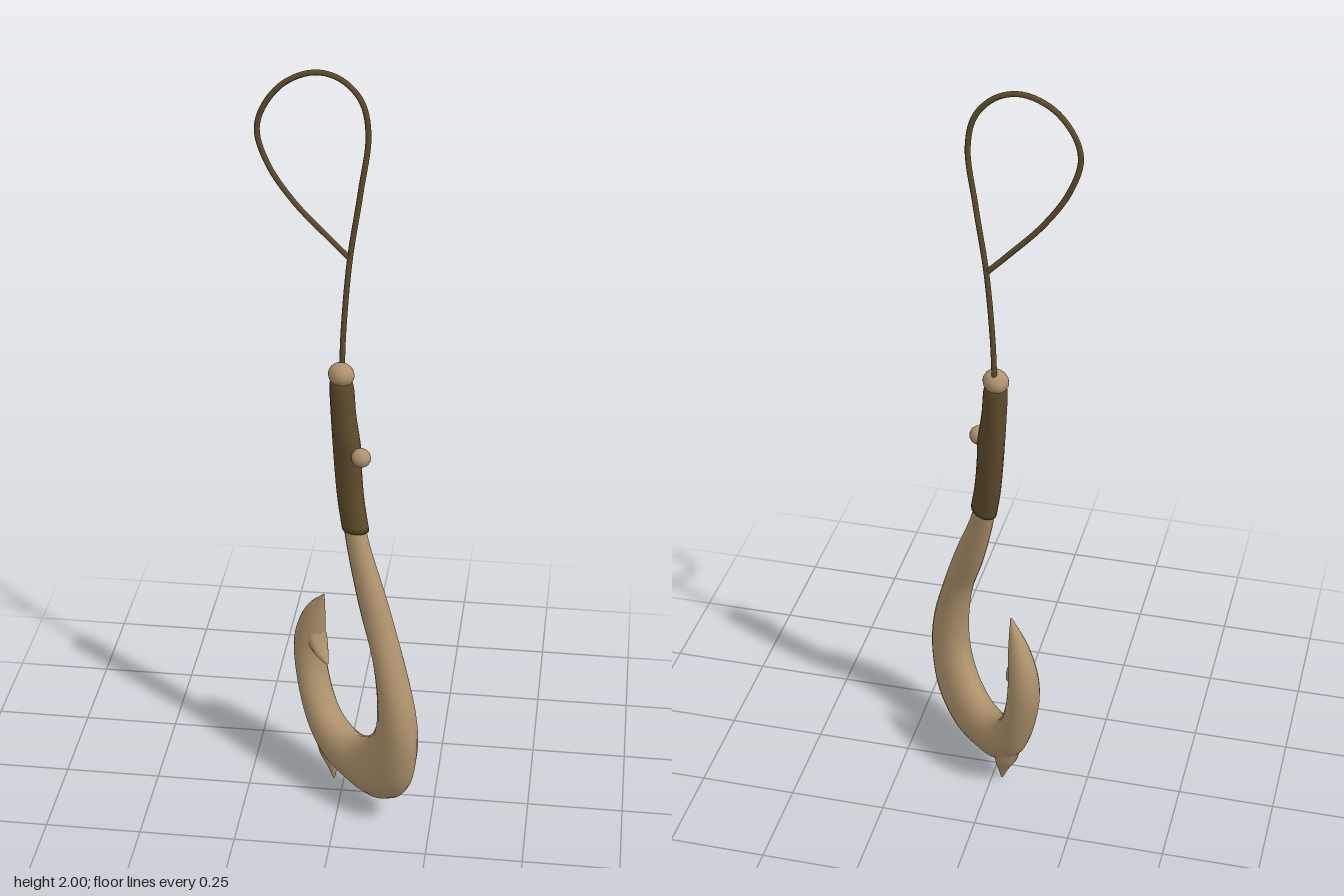
import * as THREE from 'three';

const bone = new THREE.MeshStandardMaterial({ color: 0xae926c });
bone.name = 'bone';
const twine = new THREE.MeshStandardMaterial({ color: 0x5f4b2b });
twine.name = 'twine';

// Smooth sweep through oval sections lying across a flat outline.
// Each row: outer x, outer y, inner x, inner y, half thickness.
function sweep(name, rows, material, steps, sides = 16) {
  const curve = (a, b) => new THREE.CatmullRomCurve3(
    rows.map((r) => new THREE.Vector3(r[a], r[b], r[4])));
  const outer = curve(0, 1), inner = curve(2, 3);
  const pos = [], index = [];
  const ring = (t, size) => {
    const o = outer.getPoint(t), i = inner.getPoint(t);
    for (let j = 0; j < sides; j++) {
      const a = (j / sides) * Math.PI * 2;
      const c = Math.cos(a) * size;
      pos.push(
        (o.x + i.x) / 2 + ((o.x - i.x) / 2) * c,
        (o.y + i.y) / 2 + ((o.y - i.y) / 2) * c,
        o.z * Math.sin(a) * size);
    }
  };
  ring(0, 0.001);
  for (let k = 0; k <= steps; k++) ring(k / steps, 1);
  ring(1, 0.001);
  for (let k = 0; k < steps + 2; k++) {
    for (let j = 0; j < sides; j++) {
      const a = k * sides + j, b = k * sides + ((j + 1) % sides);
      index.push(a, b, a + sides, b, b + sides, a + sides);
    }
  }
  const g = new THREE.BufferGeometry();
  g.setAttribute('position', new THREE.Float32BufferAttribute(pos, 3));
  g.setIndex(index);
  g.computeVertexNormals();
  const mesh = new THREE.Mesh(g, material);
  mesh.name = name;
  return mesh;
}

function knob(name, x, y, rx, ry, rz) {
  const mesh = new THREE.Mesh(new THREE.SphereGeometry(1, 16, 10), bone);
  mesh.name = name;
  mesh.scale.set(rx, ry, rz);
  mesh.position.set(x, y, 0);
  return mesh;
}

export function createModel() {
  const model = new THREE.Group();
  model.name = 'fishHook';

  // Carved hook, standing in a plane turned 45 degrees
  const hook = new THREE.Group();
  hook.name = 'hook';
  hook.rotation.y = -Math.PI / 4;
  hook.position.x = 0.0275;
  model.add(hook);

  hook.add(sweep('shankAndBend', [
    [0.025, 0.90, -0.03, 0.88, 0.024],
    [0.05, 0.80, -0.015, 0.79, 0.026],
    [0.13, 0.64, 0.045, 0.62, 0.034],
    [0.197, 0.48, 0.108, 0.49, 0.04],
    [0.24, 0.36, 0.13, 0.37, 0.045],
    [0.252, 0.25, 0.122, 0.29, 0.048],
    [0.215, 0.115, 0.085, 0.23, 0.05],
    [0.12, 0.05, 0.03, 0.195, 0.05],
    [0.01, 0.05, -0.02, 0.187, 0.05],
    [-0.085, 0.07, -0.075, 0.207, 0.048],
    [-0.15, 0.13, -0.11, 0.25, 0.046],
    [-0.195, 0.23, -0.135, 0.31, 0.045],
    [-0.226, 0.36, -0.14, 0.37, 0.042],
    [-0.215, 0.44, -0.135, 0.42, 0.036],
    [-0.175, 0.51, -0.128, 0.475, 0.024],
    [-0.12, 0.56, -0.12, 0.555, 0.003],
  ], bone, 75));

  // Inner barb below the tip
  hook.add(sweep('barb', [
    [-0.19, 0.46, -0.19, 0.36, 0.03],
    [-0.145, 0.45, -0.15, 0.37, 0.028],
    [-0.125, 0.40, -0.13, 0.36, 0.02],
    [-0.103, 0.352, -0.106, 0.348, 0.003],
  ], bone, 16));

  // Spur under the bend
  hook.add(sweep('spur', [
    [-0.05, 0.12, -0.15, 0.14, 0.035],
    [-0.066, 0.06, -0.125, 0.08, 0.026],
    [-0.07, 0.03, -0.102, 0.045, 0.014],
    [-0.075, 0.0, -0.08, 0.003, 0.003],
  ], bone, 16));

  // Twine binding, swelling over the side peg
  hook.add(sweep('binding', [
    [-0.02, 1.215, -0.073, 1.215, 0.024],
    [-0.012, 1.20, -0.076, 1.20, 0.028],
    [0.0, 1.12, -0.072, 1.12, 0.029],
    [0.022, 1.04, -0.066, 1.03, 0.029],
    [0.024, 0.99, -0.06, 0.98, 0.029],
    [0.035, 0.90, -0.047, 0.89, 0.029],
    [0.055, 0.82, -0.028, 0.81, 0.029],
  ], twine, 36));

  hook.add(knob('topKnob', -0.045, 1.226, 0.036, 0.03, 0.031));
  hook.add(knob('sidePeg', 0.035, 1.028, 0.026, 0.024, 0.024));

  // Hanging cord with a teardrop loop
  const path = new THREE.CatmullRomCurve3([
    [-0.005, 1.22], [0, 1.35], [0.015, 1.53], [0.04, 1.70], [0.058, 1.85],
    [0.04, 1.93], [-0.01, 1.98], [-0.07, 1.993], [-0.14, 1.965],
    [-0.19, 1.905], [-0.206, 1.845], [-0.18, 1.76], [-0.12, 1.67],
    [-0.04, 1.585], [0.015, 1.53],
  ].map(([x, y]) => new THREE.Vector3(x, y, -0.046)));
  const cord = new THREE.Mesh(new THREE.TubeGeometry(path, 110, 0.007, 8), twine);
  cord.name = 'cordLoop';
  model.add(cord);

  return model;
}
